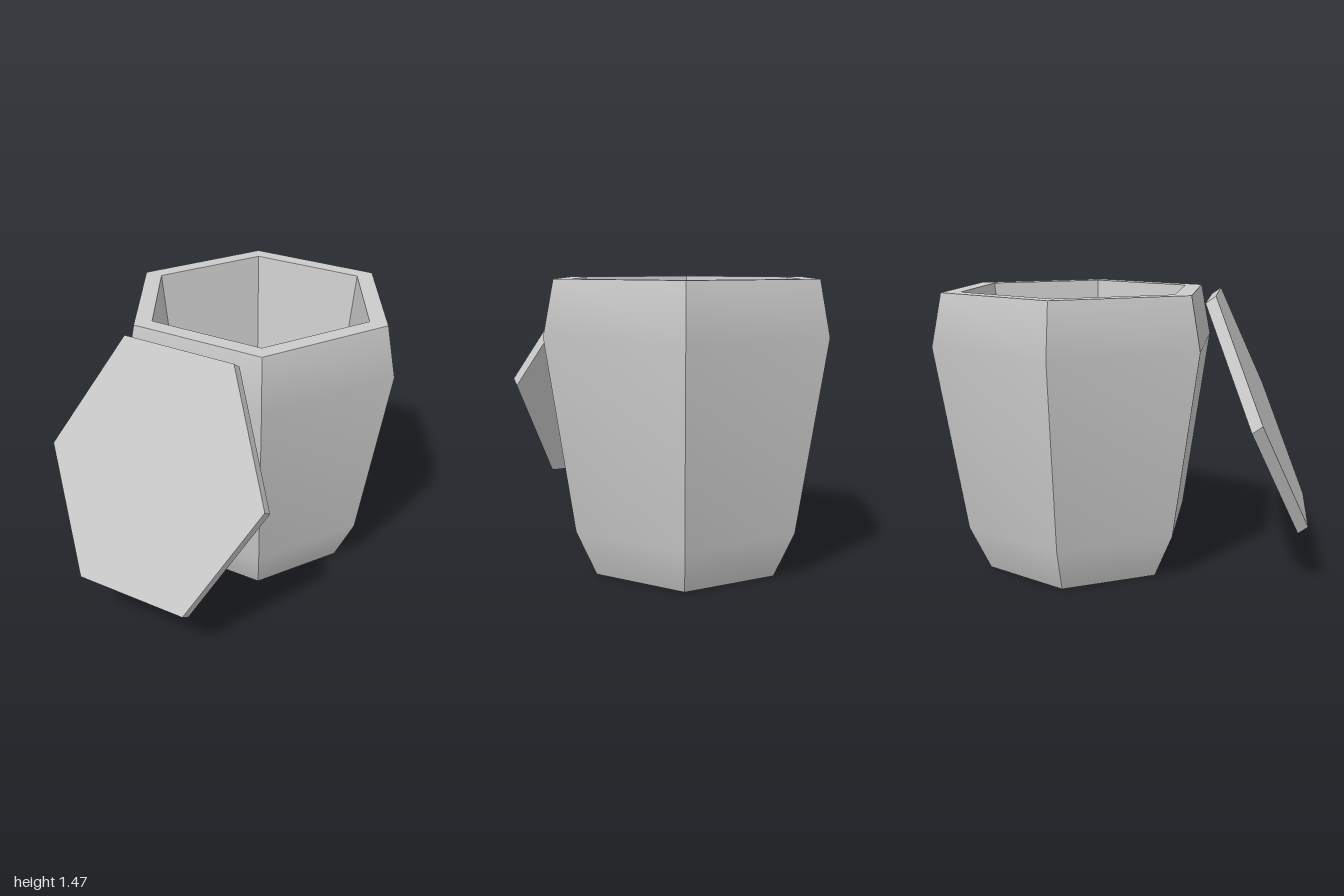
import * as THREE from 'three';
import { mergeGeometries } from 'three/addons/utils/BufferGeometryUtils.js';

const SIDES = 6;
const START = Math.PI / 2;
const FLOOR_HEIGHT = 0.55;

const profile = (points) => points.map(([r, y]) => new THREE.Vector2(r, y));

function part(name, geometry, flat) {
  const material = new THREE.MeshStandardMaterial({
    color: 0xcccccc, flatShading: flat, side: THREE.DoubleSide,
  });
  const mesh = new THREE.Mesh(geometry, material);
  mesh.name = name;
  return mesh;
}

function createPot() {
  const pot = new THREE.Group();
  pot.name = 'pot';

  // Outer shell, open below: six panels, smooth vertically, sharp at the corners
  const outer = profile([[0.51, 0], [0.62, 0.235], [0.775, 1.2], [0.72, 1.47]]);
  const panels = [];
  for (let i = 0; i < SIDES; i++) {
    const angle = (Math.PI * 2) / SIDES;
    const panel = new THREE.LatheGeometry(outer, 1, START + i * angle, angle);
    panel.computeVertexNormals();
    panels.push(panel);
  }
  pot.add(part('outerShell', mergeGeometries(panels), false));

  // Flat rim and tapering inner wall
  const inner = profile([[0.72, 1.47], [0.62, 1.47], [0.51, FLOOR_HEIGHT]]);
  pot.add(part('rimAndInnerWall', new THREE.LatheGeometry(inner, SIDES, START), true));

  // Raised floor
  const floor = new THREE.CircleGeometry(0.51, SIDES).rotateX(-Math.PI / 2);
  floor.translate(0, FLOOR_HEIGHT, 0);
  pot.add(part('floor', floor, true));

  pot.position.set(0.223, 0, -0.16);
  pot.rotation.y = 0.01;
  return pot;
}

// Stretched, slightly sheared hexagonal plate leaning beside the pot
function createLid() {
  const upward = new THREE.Vector3(0.24, 0.658, -0.139);
  const thickness = new THREE.Vector3(-0.043, 0.036, 0.025);
  const along = new THREE.Vector3(0.313, -0.005, 0.52);
  const plate = new THREE.CylinderGeometry(1, 1, 1, SIDES);
  plate.applyMatrix4(new THREE.Matrix4().makeBasis(upward, thickness, along));
  const lid = part('lid', plate, true);
  lid.position.set(-0.611, 0.877, 0.298);
  return lid;
}

export function createModel() {
  const model = new THREE.Group();
  model.name = 'potWithLid';
  model.add(createPot(), createLid());
  return model;
}
